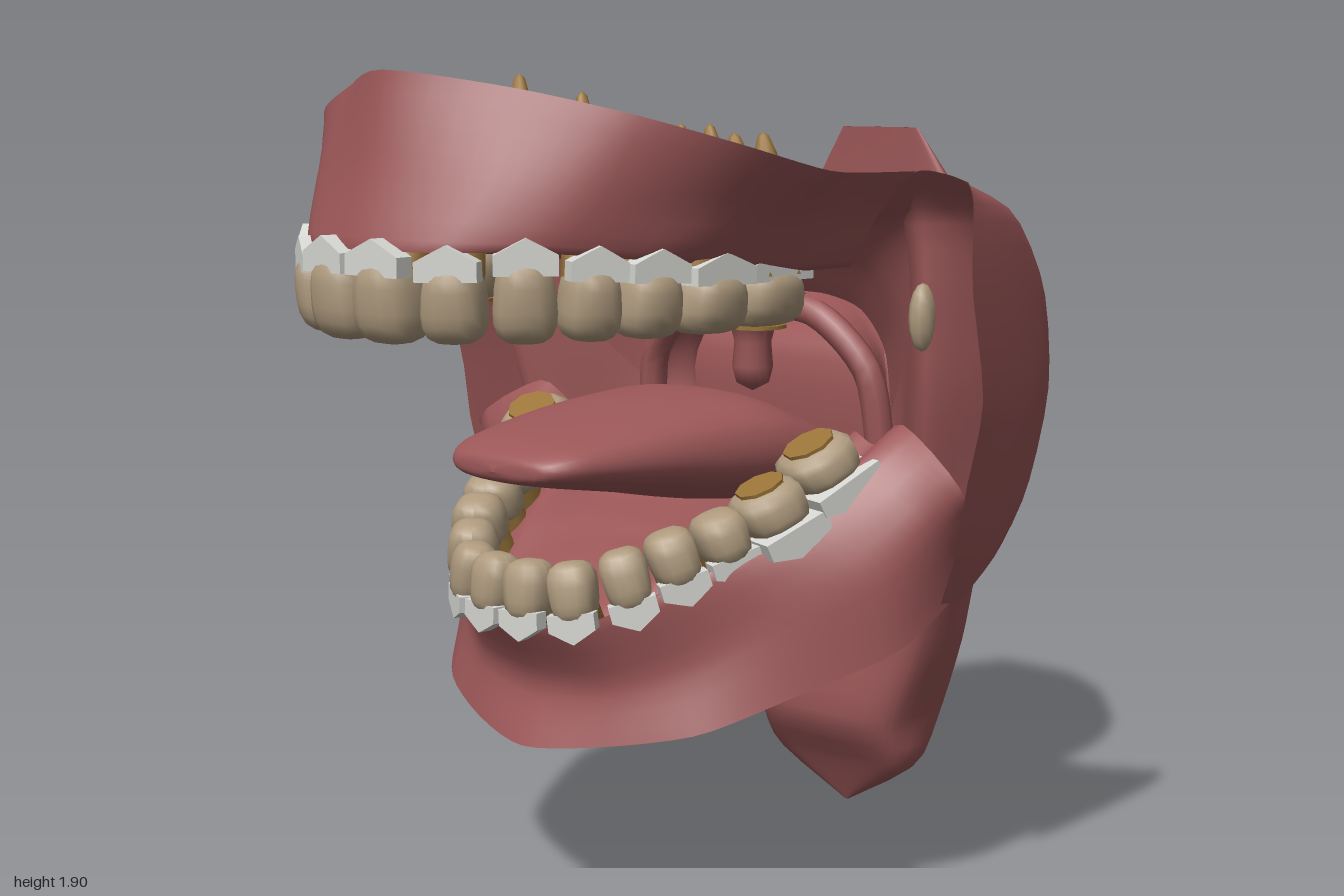
import * as THREE from 'three';
import { mergeVertices } from 'three/addons/utils/BufferGeometryUtils.js';

const mat = (name, color, side = THREE.FrontSide) => {
  const m = new THREE.MeshStandardMaterial({ color, side });
  m.name = name;
  return m;
};
const V = (p) => new THREE.Vector3(...p);
const spline = (pts, closed = false) => new THREE.CatmullRomCurve3(pts, closed, 'catmullrom', 0.4);

// Smooth sheet through rows of points; mirrored rows run from the middle to the left
function sheet(rows, { mirror = false, closed = false, nu = 36, nv = 20 } = {}) {
  const lines = rows.map((row) => {
    const half = row.map(V);
    const other = mirror ? half.slice(1).reverse().map((p) => new THREE.Vector3(-p.x, p.y, p.z)) : [];
    return spline([...other, ...half], closed).getPoints(nu);
  });
  const pos = [], index = [];
  for (let i = 0; i <= nu; i++)
    for (const p of spline(lines.map((l) => l[i])).getPoints(nv)) pos.push(p.x, p.y, p.z);
  for (let i = 0; i < nu; i++)
    for (let j = 0; j < nv; j++) {
      const a = i * (nv + 1) + j, b = a + nv + 1;
      index.push(a, b, a + 1, b, b + 1, a + 1);
    }
  let g = new THREE.BufferGeometry();
  g.setAttribute('position', new THREE.Float32BufferAttribute(pos, 3));
  g.setIndex(index);
  g = mergeVertices(g, 1e-4);
  g.computeVertexNormals();
  return g;
}

// Ring of 16 points made by a rule of cosine and sine
const ring = (f) => Array.from({ length: 16 }, (_, i) => f(Math.cos(i * Math.PI / 8), Math.sin(i * Math.PI / 8)));
const pow = (v, k) => Math.sign(v) * Math.abs(v) ** k;

// Rounded block for crowns, narrower toward the root (+y)
function crownGeometry() {
  const g = new THREE.SphereGeometry(1, 16, 12), p = g.attributes.position, v = new THREE.Vector3();
  for (let i = 0; i < p.count; i++) {
    v.fromBufferAttribute(p, i);
    const n = (Math.abs(v.x) ** 3.2 + Math.abs(v.y) ** 3.2 + Math.abs(v.z) ** 3.2) ** (-1 / 3.2);
    v.multiplyScalar(n / 2);
    p.setXYZ(i, v.x * (1 - 0.2 * v.y), v.y, v.z * (1 + 0.2 * v.y));
  }
  g.computeVertexNormals();
  return g;
}

export function createModel() {
  const model = new THREE.Group();
  model.name = 'openMouth';
  const gum = mat('gum', 0x9c5758, THREE.DoubleSide);
  const enamel = mat('enamel', 0xae9a7e);
  const root = mat('root', 0x9a7439);
  const white = mat('gumMargin', 0xd6d6d2);

  const add = (parent, name, geometry, material) => {
    const m = new THREE.Mesh(geometry, material);
    m.name = name;
    parent.add(m);
    return m;
  };

  // Upper gum and palate: rim, outer wall, outer gum line, ridge, inner gum line, palate
  add(model, 'upperGum', sheet([
    [[0, 1.9, .88], [.25, 1.865, .76], [.47, 1.815, .65], [.63, 1.755, .5], [.71, 1.7, .32], [.69, 1.69, .15], [.72, 1.69, .04]],
    [[0, 1.7, .92], [.25, 1.68, .84], [.42, 1.65, .71], [.54, 1.62, .5], [.59, 1.6, .35], [.6, 1.59, .15], [.62, 1.6, .03]],
    [[0, 1.54, .965], [.2, 1.54, .915], [.35, 1.54, .785], [.46, 1.52, .58], [.51, 1.5, .38], [.53, 1.48, .2], [.55, 1.48, .04]],
    [[0, 1.59, .91], [.19, 1.59, .86], [.31, 1.585, .74], [.4, 1.57, .55], [.45, 1.555, .37], [.46, 1.55, .19], [.47, 1.54, .02]],
    [[0, 1.53, .82], [.18, 1.53, .77], [.26, 1.52, .67], [.33, 1.51, .51], [.37, 1.5, .36], [.38, 1.49, .18], [.38, 1.5, 0]],
    [[0, 1.58, .7], [.1, 1.58, .66], [.17, 1.6, .58], [.23, 1.6, .45], [.26, 1.6, .3], [.26, 1.6, .1], [.26, 1.6, -.05]],
    [[0, 1.62, .6], [0, 1.62, .55], [0, 1.62, .46], [0, 1.62, .35], [0, 1.62, .2], [0, 1.62, .05], [0, 1.62, -.08]],
  ], { mirror: true, nu: 56, nv: 24 }), gum);

  // Roof running back to the throat
  add(model, 'softPalate', sheet([
    [[0, 1.62, .05], [.26, 1.6, 0], [.42, 1.54, .03], [.6, 1.61, .05], [.73, 1.69, .05]],
    [[0, 1.61, -.1], [.25, 1.6, -.1], [.45, 1.57, -.1], [.6, 1.58, -.08], [.66, 1.6, -.07]],
    [[0, 1.53, -.25], [.2, 1.52, -.25], [.36, 1.46, -.25], [.47, 1.38, -.22], [.53, 1.3, -.2]],
    [[0, 1.37, -.38], [.15, 1.37, -.37], [.27, 1.34, -.36], [.35, 1.25, -.35], [.38, 1.1, -.34]],
  ], { mirror: true }), gum);

  // Lower gum and floor of the mouth
  add(model, 'lowerGum', sheet([
    [[0, .4, .51], [.2, .425, .46], [.4, .47, .36], [.54, .55, .2], [.665, .635, .0], [.69, .73, -.17], [.7, .82, -.25]],
    [[0, .54, .46], [.2, .56, .43], [.36, .62, .34], [.49, .72, .22], [.63, .82, .04], [.7, .92, -.05], [.77, 1.0, -.08]],
    [[0, .69, .55], [.17, .7, .51], [.31, .77, .41], [.41, .84, .28], [.48, .92, .12], [.54, 1.04, -.02], [.58, 1.12, -.12]],
    [[0, .66, .5], [.15, .665, .47], [.26, .725, .375], [.35, .79, .25], [.41, .86, .1], [.45, .97, -.04], [.48, 1.06, -.15]],
    [[0, .71, .44], [.13, .72, .41], [.21, .77, .33], [.27, .84, .22], [.33, .91, .08], [.36, 1.0, -.06], [.39, 1.08, -.18]],
    [[0, .76, .3], [.1, .78, .28], [.17, .81, .2], [.2, .85, .1], [.25, .88, 0], [.28, .92, -.12], [.3, .95, -.32]],
    [[0, .8, .2], [0, .81, .15], [0, .82, .1], [0, .84, .05], [0, .86, -.05], [0, .88, -.18], [0, .91, -.37]],
  ], { mirror: true, nu: 56, nv: 24 }), gum);

  // Cheek pockets: front edge, back fold, inner fold, throat side, throat
  const cheek = sheet([
    [[.855, 1.67, .035], [.8, 1.685, .035], [.73, 1.69, .045], [.6, 1.63, .02], [.5, 1.6, .01]],
    [[.865, 1.62, .03], [.845, 1.6, -.14], [.67, 1.6, -.06], [.58, 1.58, -.09], [.48, 1.57, -.12]],
    [[.86, 1.45, .02], [.83, 1.43, -.29], [.665, 1.42, -.08], [.52, 1.4, -.21], [.4, 1.39, -.29]],
    [[.83, 1.2, -.07], [.8, 1.2, -.365], [.655, 1.2, -.1], [.46, 1.2, -.28], [.36, 1.2, -.37]],
    [[.79, 1.0, -.07], [.76, .97, -.35], [.62, 1.0, -.14], [.44, 1.0, -.3], [.34, 1.0, -.37]],
    [[.755, .86, -.09], [.73, .83, -.28], [.58, .9, -.17], [.42, .92, -.28], [.3, .92, -.36]],
    [[.7, .73, -.11], [.69, .73, -.2], [.55, .83, -.16], [.42, .88, -.25], [.3, .9, -.33]],
  ], { nu: 28 });
  for (const s of [1, -1]) add(model, s > 0 ? 'leftCheek' : 'rightCheek', cheek, gum).scale.x = s;

  // Small pale spot inside the left cheek
  const spot = add(model, 'cheekSpot', new THREE.SphereGeometry(.5, 9, 8), enamel);
  spot.scale.set(.055, .15, .07);
  spot.position.set(.665, 1.37, -.07);

  // Pharynx: level, half width, front z, widest z, back z
  add(model, 'pharynx', sheet([
    [0, .005, -.67, -.675, -.68], [.13, .21, -.6, -.67, -.81], [.26, .235, -.52, -.68, -.94],
    [.45, .3, -.53, -.68, -.955], [.6, .34, -.53, -.66, -.965], [.75, .39, -.48, -.62, -.975],
    [.93, .44, -.42, -.58, -.985], [1.13, .48, -.4, -.57, -.995], [1.26, .46, -.43, -.6, -1],
    [1.36, .37, -.62, -.72, -.985], [1.48, .28, -.76, -.8, -.96], [1.64, .2, -.77, -.79, -.86], [1.76, .12, -.77, -.775, -.78],
  ].map(([y, w, f, m, b]) => ring((c, s) => s > 0
    ? [w * pow(c, .6), y, m + (f - m) * s ** .6]
    : [w * c, y, m + (m - b) * s])),
  { closed: true, nv: 40 }), gum);

  // Throat passage: z, centre y, half width, half height
  const tube = (list, k = 1) => list.map(([z, y, w, h]) => ring((c, s) => [w * pow(c, k), y + h * pow(s, k), z]));
  add(model, 'throat', sheet(tube([
    [-.34, 1.14, .35, .23], [-.42, 1.15, .31, .24], [-.5, 1.14, .36, .23], [-.64, 1.1, .4, .18],
  ]), { closed: true }), gum);

  // Palatal arch with the uvula
  const arch = spline([[-.37, .98, -.32], [-.34, 1.2, -.3], [-.2, 1.33, -.28], [0, 1.35, -.27],
    [.2, 1.33, -.28], [.34, 1.2, -.3], [.37, .98, -.32]].map(V));
  add(model, 'palatalArch', new THREE.TubeGeometry(arch, 32, .035, 8), gum);
  const drop = [[.001, 1.13], [.04, 1.15], [.05, 1.19], [.045, 1.25], [.06, 1.31], [.13, 1.37]];
  add(model, 'uvula', new THREE.LatheGeometry(drop.map((p) => new THREE.Vector2(...p)), 14), gum).position.z = -.28;

  // Tongue
  add(model, 'tongue', sheet(tube([
    [.59, 1.04, .005, .005], [.575, 1.043, .14, .03], [.5, 1.05, .2, .055], [.3, 1.05, .25, .09],
    [.1, 1.04, .28, .12], [-.1, 1.025, .3, .13], [-.38, .95, .3, .08],
  ], .8), { closed: true, nv: 28 }), gum);

  // Teeth: x, y, z, width, height, depth, root count, root length, root lean
  const upper = [
    [.068, 1.44, .92, .138, .18, .15, 1, .36, .38], [.197, 1.437, .87, .128, .165, .14, 1, .36, .36],
    [.302, 1.445, .775, .128, .18, .14, 1, .41, .28], [.375, 1.437, .665, .12, .16, .15, 1, .38, .2],
    [.42, 1.432, .55, .13, .15, .16, 1, .34, .16], [.45, 1.425, .405, .16, .135, .17, 3, .33, .16],
    [.455, 1.425, .235, .18, .13, .17, 3, .31, .16]];
  const lower = [
    [.054, .77, .53, .106, .14, .11, 1, .38, .75], [.158, .775, .5, .105, .14, .11, 1, .38, .7],
    [.245, .805, .425, .105, .14, .12, 1, .32, .5], [.31, .85, .345, .11, .13, .13, 1, .29, .4],
    [.365, .89, .25, .115, .12, .14, 1, .28, .3], [.41, .945, .14, .16, .115, .16, 2, .34, .2],
    [.45, 1.035, .02, .17, .105, .17, 2, .28, .2]];
  const crown = crownGeometry();
  const filling = new THREE.CylinderGeometry(.5, .5, .008, 9);
  const rootProfile = [[1, 0], [.9, .3], [.68, .6], [.42, .85], [.2, .97], [.001, 1]];
  const rootShape = new THREE.LatheGeometry(rootProfile.map((p) => new THREE.Vector2(...p)), 10);
  // Pointed pale plate, half hidden behind the crown
  const edge = new THREE.Shape([[-.5, 0], [-.5, .55], [-.25, .78], [0, 1], [.25, .78], [.5, .55], [.5, 0]]
    .map((p) => new THREE.Vector2(...p)));
  const margin = new THREE.ExtrudeGeometry(edge, { depth: 1, bevelEnabled: false }).translate(0, 0, -.5);

  function teeth(name, list, up) {
    const row = new THREE.Group();
    row.name = name;
    model.add(row);
    for (const s of [1, -1]) list.forEach(([x, y, z, w, h, d, n, len, lean], i) => {
      const a = list[Math.max(i - 1, 0)], b = list[Math.min(i + 1, list.length - 1)];
      const dx = b[0] - a[0], dz = b[2] - a[2];
      const t = new THREE.Group();
      t.name = 'tooth';
      t.position.set(s * x, y, z);
      t.rotation.y = s * (i ? Math.atan2(-dz, dx) : .12);
      t.rotation.z = s * Math.atan2(b[1] - a[1], Math.hypot(dx, dz)) * .8;
      row.add(t);
      const c = add(t, 'crown', crown, enamel);
      c.scale.set(w, h, d);
      if (up < 0) c.rotation.z = Math.PI;
      // Pale margin on the outer side where the crown meets the gum
      const broad = up < 0 && i > 4;
      const m = add(t, 'gumMargin', margin, white);
      m.scale.set(w * 1.02, h * .2 + (broad ? .05 : .04), broad ? d * .55 : d * .3);
      m.position.set(0, up * h * .28, d * (broad ? .36 : .3));
      if (up < 0) m.rotation.z = Math.PI;
      // Roots
      for (let k = 0; k < n; k++) {
        const r = n > 1 ? w * .33 : w * .45;
        const q = add(t, 'root', rootShape, root);
        q.scale.set(r, len, r);
        q.position.set(n > 1 ? (k % 2 - .5) * w * .5 : 0, up * h * .3, n > 2 ? (k < 2 ? .02 : -.045) : -.02);
        q.rotation.x = up > 0 ? -lean : Math.PI + lean;
      }
      // Amber chewing surface on the back teeth
      if (i > (up > 0 ? 5 : 4)) {
        const f = add(t, 'chewingSurface', filling, root);
        f.scale.set(w * .72, 1, d * .7);
        f.position.y = -up * h * .5;
      }
    });
  }
  teeth('upperTeeth', upper, 1);
  teeth('lowerTeeth', lower, -1);
  return model;
}
